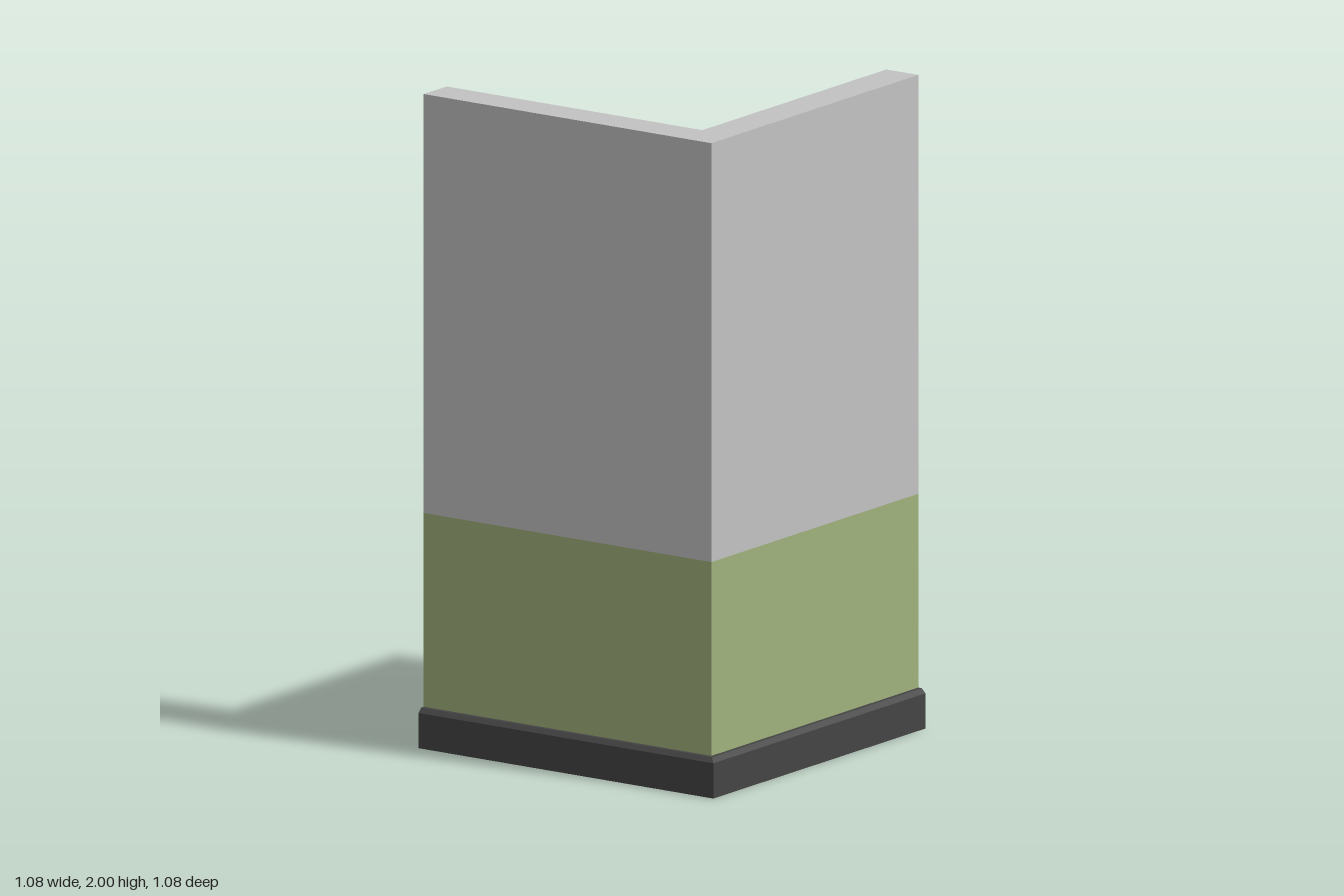
import * as THREE from 'three';

const END = -0.54; // free end of both wall arms

// Sweeps a closed counter-clockwise profile of [outward, height] points around the
// mitred corner. edgeMats gives the material index of each profile edge (default 0).
function sweepCorner(name, profile, materials, edgeMats = {}) {
  const pos = [];
  const geo = new THREE.BufferGeometry();
  const section = (s, [d, y]) => [[END, y, d], [d, y, d], [d, y, END]][s];
  const addGroup = (start, mat) => geo.addGroup(start, pos.length / 3 - start, mat);

  profile.forEach((a, i) => {
    const b = profile[(i + 1) % profile.length];
    const start = pos.length / 3;
    for (let s = 0; s < 2; s++) {
      const a0 = section(s, a), a1 = section(s + 1, a);
      const b0 = section(s, b), b1 = section(s + 1, b);
      pos.push(...a0, ...a1, ...b1, ...a0, ...b1, ...b0);
    }
    addGroup(start, edgeMats[i] ?? 0);
  });

  // End caps
  const start = pos.length / 3;
  const tris = THREE.ShapeUtils.triangulateShape(profile.map(([d, y]) => new THREE.Vector2(d, y)), []);
  for (const [i, j, k] of tris) {
    for (const n of [i, j, k]) pos.push(...section(0, profile[n]));
    for (const n of [k, j, i]) pos.push(...section(2, profile[n]));
  }
  addGroup(start, 0);

  geo.setAttribute('position', new THREE.Float32BufferAttribute(pos, 3));
  geo.computeVertexNormals();
  const mesh = new THREE.Mesh(geo, materials);
  mesh.name = name;
  return mesh;
}

export function createModel() {
  const material = (name, color) => {
    const m = new THREE.MeshStandardMaterial({ color });
    m.name = name;
    return m;
  };
  const plaster = material('greyPlaster', 0xc2c2c2);
  const green = material('greenPaint', 0xa0b27d);
  const dark = material('darkSkirting', 0x444444);

  const inner = 0.398, outer = 0.515, rebate = 0.43, top = 0.122;
  const group = new THREE.Group();
  group.name = 'cornerWall';

  // Wall with a rebate for the skirting; lower outer face and underside are green
  group.add(sweepCorner('wall', [
    [inner, 0], [rebate, 0], [rebate, top], [outer, top],
    [outer, 0.716], [outer, 2], [inner, 2],
  ], [plaster, green], { 0: 1, 3: 1 }));

  // Skirting board with a chamfered upper edge
  group.add(sweepCorner('skirtingBoard', [
    [rebate, 0], [0.541, 0], [0.541, 0.108], [0.528, top], [rebate, top],
  ], [dark]));

  return group;
}
